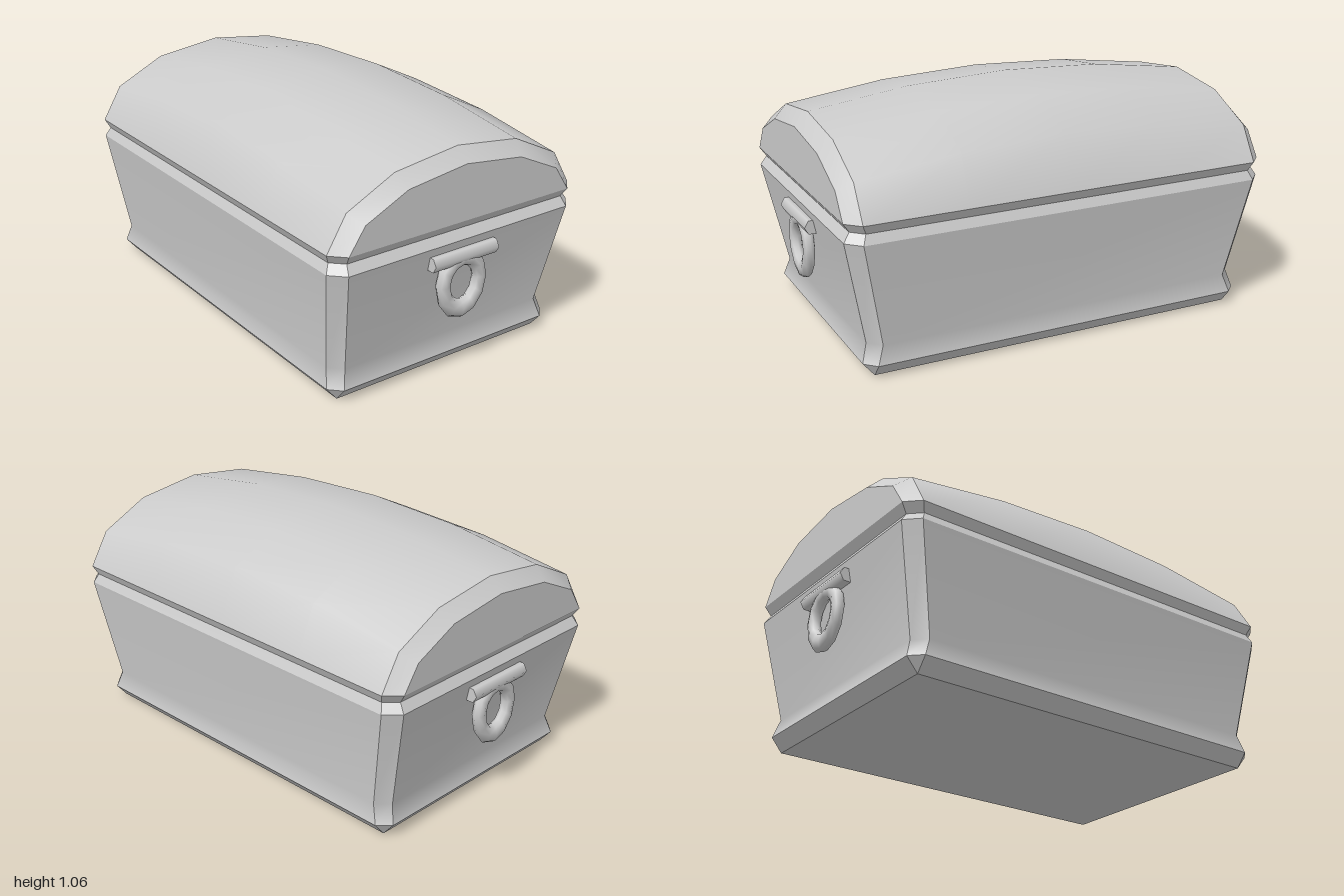
import * as THREE from 'three';

const material = new THREE.MeshStandardMaterial({ color: 0xcccccc });

function addMesh(parent, name, geometry) {
  const mesh = new THREE.Mesh(geometry, material);
  mesh.name = name;
  parent.add(mesh);
  return mesh;
}

// Smooth sheet through rows of [x, y, z] points; separate sheets keep sharp edges
function sheet(rows) {
  const cols = rows[0].length;
  const index = [];
  for (let i = 0; i < rows.length - 1; i++) {
    for (let j = 0; j < cols - 1; j++) {
      const a = i * cols + j, d = a + cols;
      index.push(a, a + 1, d + 1, a, d + 1, d);
    }
  }
  const g = new THREE.BufferGeometry();
  g.setAttribute('position', new THREE.Float32BufferAttribute(rows.flat(2), 3));
  g.setIndex(index);
  g.computeVertexNormals();
  return g;
}

// Rectangle with cut corners at height y, closed loop
function ring([y, hx, hz, c]) {
  const p = [
    [-hx + c, hz], [hx - c, hz], [hx, hz - c], [hx, -hz + c],
    [hx - c, -hz], [-hx + c, -hz], [-hx, -hz + c], [-hx, hz - c],
  ];
  p.push(p[0]);
  return p.map(([x, z]) => [x, y, z]);
}

function createBody() {
  const body = new THREE.Group();
  body.name = 'body';
  // height, half width, half depth, corner cut
  const r = [
    [0, 0.85, 0.53, 0], [0.06, 0.9, 0.58, 0.05], [0.14, 0.875, 0.562, 0.053],
    [0.6, 0.97, 0.625, 0.06], [0.64, 0.943, 0.605, 0.05], [0.68, 0.97, 0.625, 0.06],
  ].map(ring);
  const bands = {
    foot: [r[0], r[1]],
    wall: [r[1], r[2], r[3]],
    lowerLip: [r[3], r[4]],
    lidLip: [r[4], r[5]],
  };
  for (const [name, rows] of Object.entries(bands)) {
    for (let k = 0; k < 8; k++) {
      addMesh(body, name, sheet(rows.map((row) => row.slice(k, k + 2))));
    }
  }
  addMesh(body, 'bottom', new THREE.PlaneGeometry(1.7, 1.06).rotateX(Math.PI / 2));
  return body;
}

// Arch from front to back, mirrored from a half profile of [z, y]
function arch(x, half, lift = 0) {
  const front = half.map(([z, y], i) => [x, y + (i ? lift : 0), z]);
  const back = front.slice(0, -1).reverse().map(([px, y, z]) => [px, y, -z]);
  return [...front, ...back];
}

function createLid() {
  const lid = new THREE.Group();
  lid.name = 'lid';
  const outer = [[0.625, 0.68], [0.535, 0.83], [0.31, 0.94], [0, 0.98]];
  const inner = [[0.565, 0.68], [0.49, 0.79], [0.287, 0.885], [0, 0.922]];
  const hub = (x) => arch(x, inner.map(() => [0, 0.68]));
  const crown = [-0.91, -0.46, 0, 0.46, 0.91]
    .map((x) => arch(x, outer, 0.08 * (1 - (x / 0.91) ** 2)));
  const left = arch(0.97, inner), right = arch(-0.97, inner);
  const strips = {
    lidTop: crown,
    lidBevelLeft: [crown[4], left],
    lidBevelRight: [right, crown[0]],
    lidEndLeft: [left, hub(0.97)],
    lidEndRight: [hub(-0.97), right],
  };
  for (const [name, columns] of Object.entries(strips)) {
    const rows = columns[0].map((_, i) => columns.map((c) => c[i]));
    addMesh(lid, name, sheet(rows));
  }
  return lid;
}

function createHandle(name, side) {
  const handle = new THREE.Group();
  handle.name = name;
  // Six-sided bar with an edge pointing outward
  const bar = new THREE.CylinderGeometry(0.034, 0.034, 0.33, 6)
    .rotateY(Math.PI / 2).rotateX(Math.PI / 2);
  addMesh(handle, 'handleBar', bar).position.set(0.966, 0.534, 0);
  // Oval ring, longer below than above
  const loop = new THREE.TorusGeometry(0.095, 0.033, 8, 12);
  const p = loop.attributes.position;
  for (let i = 0; i < p.count; i++) {
    const y = p.getY(i);
    p.setXYZ(i, p.getX(i), y * (y < 0 ? 1.3 : 1.09), p.getZ(i) * 0.8);
  }
  loop.rotateY(Math.PI / 2);
  addMesh(handle, 'handleRing', loop).position.set(0.964, 0.418, 0);
  if (side < 0) handle.rotation.y = Math.PI;
  return handle;
}

export function createModel() {
  const chest = new THREE.Group();
  chest.name = 'chest';
  chest.add(
    createBody(), createLid(),
    createHandle('leftHandle', 1), createHandle('rightHandle', -1),
  );
  return chest;
}
